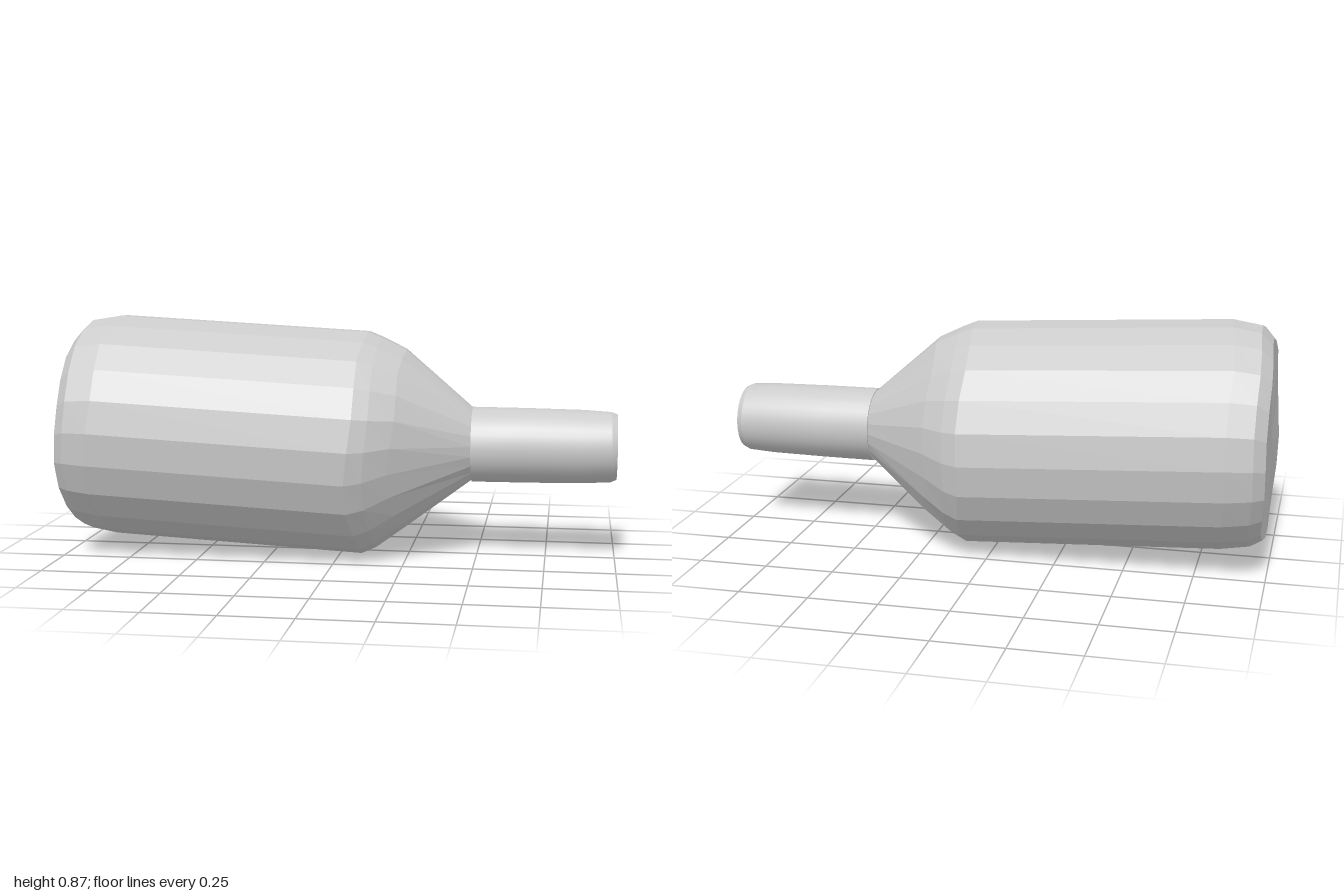
import * as THREE from 'three';
import { toCreasedNormals } from 'three/addons/utils/BufferGeometryUtils.js';

const SIDES = 22;

// Faceted skin through rings [x, centreY, radius, xWobble] along x, closed at both ends
function ringBody(rings) {
  const pos = [];
  const point = ([x, cy, r, wobble], j) => {
    const a = ((j % SIDES) / SIDES) * Math.PI * 2 + 0.1;
    const dx = wobble * Math.sin(2 * a + 0.8) + wobble * 0.5 * Math.cos(5 * a);
    return [x + dx, cy + r * Math.cos(a), r * Math.sin(a)];
  };
  const tri = (a, b, c) => pos.push(...a, ...b, ...c);
  const first = rings[0], last = rings[rings.length - 1];
  for (let j = 0; j < SIDES; j++) {
    for (let i = 0; i < rings.length - 1; i++) {
      const a = point(rings[i], j), b = point(rings[i], j + 1);
      const c = point(rings[i + 1], j + 1), d = point(rings[i + 1], j);
      tri(a, b, c);
      tri(a, c, d);
    }
    tri([first[0], first[1], 0], point(first, j + 1), point(first, j));
    tri([last[0], last[1], 0], point(last, j), point(last, j + 1));
  }
  const geo = new THREE.BufferGeometry();
  geo.setAttribute('position', new THREE.Float32BufferAttribute(pos, 3));
  geo.computeVertexNormals();
  return geo;
}

export function createModel() {
  const group = new THREE.Group();

  // Slightly drooping body: flat base, bevelled rim, barrel, shoulder and cone
  const body = new THREE.Mesh(
    ringBody([
      [-0.985, 0.452, 0.36, 0.007],
      [-0.945, 0.464, 0.395, 0.008],
      [-0.85, 0.464, 0.412, 0.015],
      [0.08, 0.415, 0.411, 0.015],
      [0.135, 0.417, 0.388, 0.012],
      [0.22, 0.427, 0.335, 0.015],
      [0.485, 0.417, 0.128, 0],
    ]),
    new THREE.MeshStandardMaterial({ color: 0xcccccc, flatShading: true })
  );
  body.name = 'body';
  group.add(body);

  // Smooth neck with a small ledge at the cone and a bevelled tip
  const profile = [
    [0, 0], [0.137, 0], [0.136, 0.2], [0.133, 0.4], [0.127, 0.5], [0.118, 0.52], [0, 0.52],
  ].map(([r, h]) => new THREE.Vector2(r, h));
  const neck = new THREE.Mesh(
    toCreasedNormals(new THREE.LatheGeometry(profile, 32), 0.35),
    new THREE.MeshStandardMaterial({ color: 0xcccccc })
  );
  neck.name = 'neck';
  neck.rotation.z = -Math.PI / 2;
  neck.position.set(0.48, 0.415, 0);
  group.add(neck);

  return group;
}
